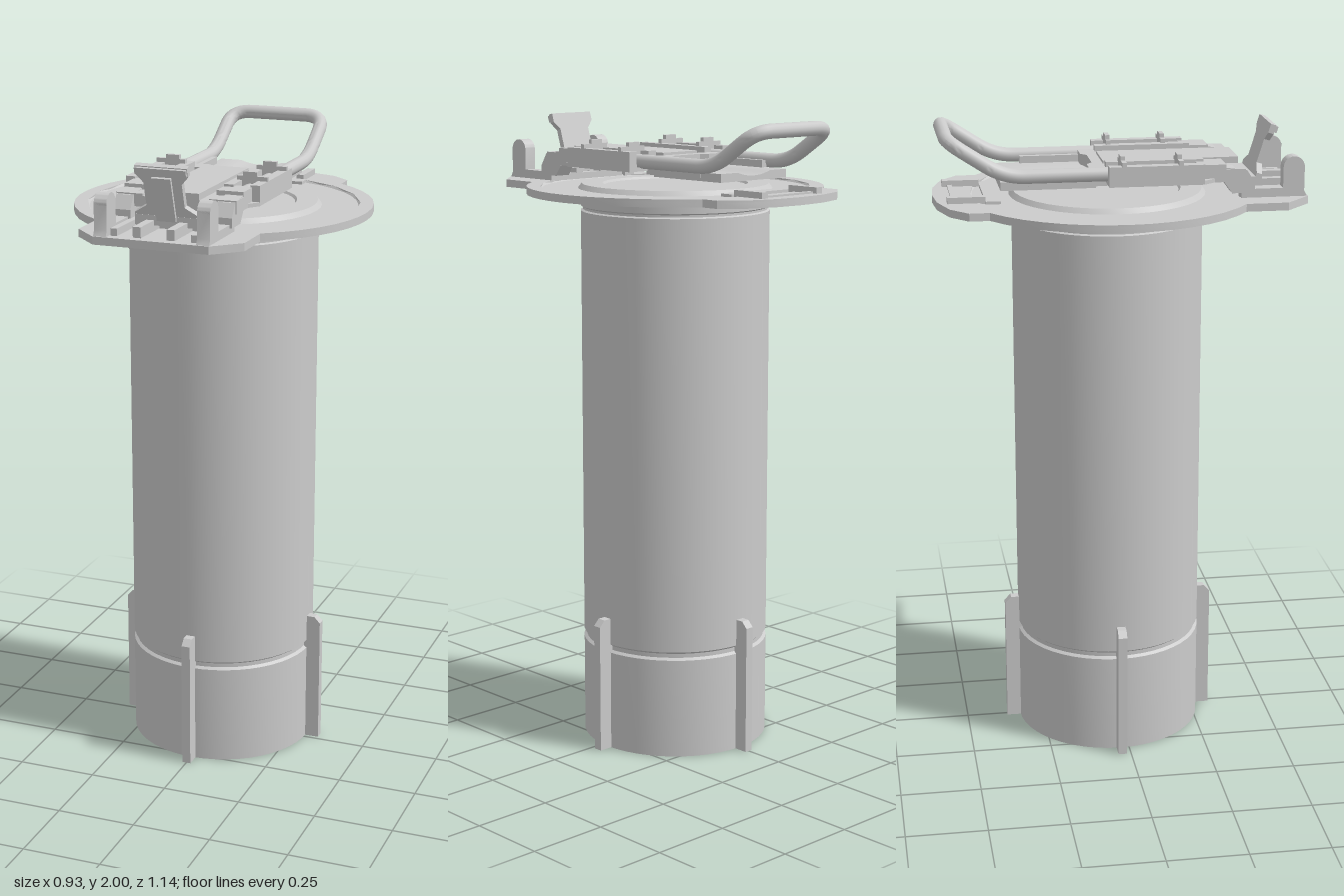
import * as THREE from 'three';
import { toCreasedNormals } from 'three/addons/utils/BufferGeometryUtils.js';

const material = new THREE.MeshStandardMaterial({ color: 0xcccccc, side: THREE.DoubleSide });
const CZ = -0.027; // z of the tube axis

export function createModel() {
  const model = new THREE.Group();

  const add = (name, geometry, x = 0, y = 0, z = 0, parent = model) => {
    const mesh = new THREE.Mesh(toCreasedNormals(geometry, 0.5), material);
    mesh.name = name;
    mesh.position.set(x, y, z);
    parent.add(mesh);
    return mesh;
  };
  // Box given by its ranges
  const box = (name, x0, x1, y0, y1, z0, z1) =>
    add(name, new THREE.BoxGeometry(x1 - x0, y1 - y0, z1 - z0), (x0 + x1) / 2, (y0 + y1) / 2, (z0 + z1) / 2);
  // The same box on both sides
  const pair = (name, x0, x1, ...r) => {
    box(name + 'Left', x0, x1, ...r);
    box(name + 'Right', -x1, -x0, ...r);
  };
  const lathe = (name, profile, segments = 40) =>
    add(name, new THREE.LatheGeometry(profile.map(p => new THREE.Vector2(...p)), segments), 0, 0, CZ);
  const toShape = pts => new THREE.Shape(pts.map(p => new THREE.Vector2(...p)));
  const extrude = (shape, depth) =>
    new THREE.ExtrudeGeometry(shape, { depth, bevelEnabled: false, curveSegments: 10 });
  // Flat plate with an outline in x, z
  const slab = (name, shape, y0, y1) => add(name, extrude(shape, y1 - y0).rotateX(Math.PI / 2), 0, y1, 0);
  // Upright plate with an outline in z, y, centred on x
  const sidePlate = (name, shape, x, width) =>
    add(name, extrude(shape, width).rotateY(-Math.PI / 2), x + width / 2, 0, 0);
  const mirrored = half => [...half, ...half.map(([x, z]) => [-x, z]).reverse()];

  // Hollow tube with a lower groove and a collar groove
  lathe('tube', [
    [0.287, 1.775], [0.287, 0], [0.297, 0], [0.297, 0.318], [0.288, 0.325], [0.288, 0.338], [0.297, 0.345],
    [0.297, 1.707], [0.29, 1.711], [0.29, 1.718], [0.297, 1.722], [0.297, 1.775]], 48);

  // Four stabilising fins around the base
  for (let i = 0; i < 4; i++) {
    const fin = new THREE.Group();
    fin.name = 'fin' + (i + 1);
    fin.position.z = CZ;
    fin.rotation.y = i * Math.PI / 2;
    const outline = toShape([[0.288, 0], [0.341, 0], [0.341, 0.41], [0.322, 0.43], [0.288, 0.43]]);
    add('finPlate', extrude(outline, 0.028), 0, 0, -0.014, fin);
    model.add(fin);
  }

  // Flange outline: disc with a chamfered front tab and a rounded rear tab
  const R = 0.466, half = [];
  const rear = [[0, -0.568], [0.1, -0.56], [0.2, -0.528], [0.26, -0.475]];
  half.push(...rear);
  const a0 = Math.asin(0.26 / R);
  for (let i = 0; i <= 14; i++) {
    const a = a0 + (Math.PI - 2 * a0) * i / 14;
    half.push([R * Math.sin(a), CZ - R * Math.cos(a)]);
  }
  half.push([0.26, 0.49], [0.18, 0.568]);
  const outline = mirrored(half).slice(0, -1);
  const skirt = toShape(outline);
  skirt.holes.push(toShape(outline.map(([x, z]) => [x * 0.94, z * 0.95])));
  slab('flangeSkirt', skirt, 1.759, 1.777);
  const sheet = toShape(outline);
  sheet.holes.push(new THREE.Path().absarc(0, CZ, 0.425, 0, Math.PI * 2));
  slab('flangeSheet', sheet, 1.773, 1.783);

  // Lid: stepped disc closing the tube
  lathe('lid', [
    [0, 1.766], [0.41, 1.766], [0.43, 1.766], [0.43, 1.783], [0.425, 1.783], [0.418, 1.776],
    [0.305, 1.776], [0.293, 1.791], [0.228, 1.791], [0.222, 1.784], [0, 1.784]]);

  // Rear tab catch
  box('rearCatchBar', -0.14, 0.14, 1.78, 1.789, -0.415, -0.37);
  pair('rearCatchRail', 0.105, 0.13, 1.78, 1.802, -0.53, -0.415);
  box('rearCatchStop', -0.12, 0.12, 1.78, 1.789, -0.515, -0.5);

  // Hinge posts with rounded tops on the front tab
  const post = toShape([[0.36, 1.78], [0.565, 1.78], [0.555, 1.8], [0.555, 1.88]]);
  post.absarc(0.522, 1.873, 0.033, 0, Math.PI);
  post.lineTo(0.489, 1.81);
  post.lineTo(0.36, 1.81);
  const ear = toShape([[0.305, 1.835], [0.33, 1.8], [0.4, 1.8], [0.4, 1.83], [0.375, 1.87], [0.305, 1.88]]);
  for (const s of [1, -1]) {
    sidePlate('hingePost', post, s * 0.16, 0.04);
    sidePlate('hingeEar', ear, s * 0.16, 0.055);
  }
  pair('frontRib', 0.115, 0.135, 1.78, 1.805, 0.37, 0.54);
  pair('latchFoot', 0.04, 0.065, 1.78, 1.815, 0.37, 0.54);
  box('latchBase', -0.12, 0.12, 1.78, 1.8, 0.37, 0.4);
  box('latchHinge', -0.1, 0.1, 1.8, 1.83, 0.405, 0.44);

  // Leaning latch tongue
  const latch = new THREE.Group();
  latch.name = 'latch';
  latch.position.set(0, 1.815, 0.425);
  latch.rotation.x = 0.3;
  const tongue = toShape(mirrored([
    [0.1, 0], [0.1, 0.025], [0.06, 0.05], [0.06, 0.125], [0.082, 0.15], [0.082, 0.178]]));
  add('latchTongue', extrude(tongue, 0.018), 0, 0, -0.009, latch);
  add('latchRib', new THREE.BoxGeometry(0.06, 0.14, 0.016), 0, 0.075, 0.01, latch);
  add('latchLip', new THREE.BoxGeometry(0.16, 0.02, 0.026), 0, 0.165, 0.004, latch);
  model.add(latch);

  // Handle carrier: floor, side walls, raised centre with two channels
  const floor = toShape(mirrored([[0.215, -0.05], [0.215, 0.24], [0.19, 0.275], [0.19, 0.37], [0.11, 0.37]]));
  slab('carrierFloor', floor, 1.836, 1.848);
  pair('carrierWall', 0.185, 0.215, 1.836, 1.897, -0.05, 0.24);
  pair('carrierShoulder', 0.105, 0.135, 1.84, 1.897, -0.05, 0.25);
  pair('carrierChannel', 0.072, 0.106, 1.84, 1.868, -0.05, 0.37);
  box('carrierCentre', -0.073, 0.073, 1.84, 1.888, -0.05, 0.37);
  pair('carrierFront', 0.105, 0.19, 1.84, 1.89, 0.225, 0.31);
  pair('carrierFrontStep', 0.105, 0.19, 1.84, 1.875, 0.31, 0.37);

  // Rear panel with a shallow central channel
  slab('panelStep', toShape(mirrored([[0.14, -0.045], [0.14, -0.1], [0.075, -0.1], [0.055, -0.082]])), 1.825, 1.88);
  const panel = toShape([[-0.14, 1.82], [0.14, 1.82], [0.14, 1.846], [0.07, 1.846]]);
  panel.quadraticCurveTo(0, 1.822, -0.07, 1.846);
  panel.lineTo(-0.14, 1.846);
  add('rearPanel', extrude(panel, 0.29), 0, 0, -0.37);
  pair('panelHook', 0.122, 0.142, 1.83, 1.868, -0.285, -0.1);

  // Bent rod handle with filleted corners
  const corners = [[0.16, 1.866, 0.215], [0.16, 1.866, -0.36], [0.16, 1.978, -0.53],
    [-0.16, 1.978, -0.53], [-0.16, 1.866, -0.36], [-0.16, 1.866, 0.215]].map(p => new THREE.Vector3(...p));
  const path = new THREE.CurvePath();
  let from = corners[0];
  for (let i = 1; i < 5; i++) {
    const c = corners[i];
    const toward = p => c.clone().add(p.clone().sub(c).setLength(0.065));
    const start = toward(corners[i - 1]), end = toward(corners[i + 1]);
    path.add(new THREE.LineCurve3(from, start));
    path.add(new THREE.QuadraticBezierCurve3(start, c, end));
    from = end;
  }
  path.add(new THREE.LineCurve3(from, corners[5]));
  add('handle', new THREE.TubeGeometry(path, 140, 0.022, 14));

  // Rod end caps and retaining clips
  for (const s of [1, -1]) {
    add('handleEnd', new THREE.CircleGeometry(0.022, 14), s * 0.16, 1.866, 0.215);
    for (const z of [-0.005, 0.168]) {
      const x0 = s > 0 ? 0.118 : -0.215, x1 = s > 0 ? 0.215 : -0.118;
      box('clip', x0, x1, 1.845, 1.91, z - 0.007, z + 0.007);
      box('clipTop', s * 0.16 - 0.022, s * 0.16 + 0.022, 1.91, 1.923, z - 0.007, z + 0.007);
    }
  }
  return model;
}
